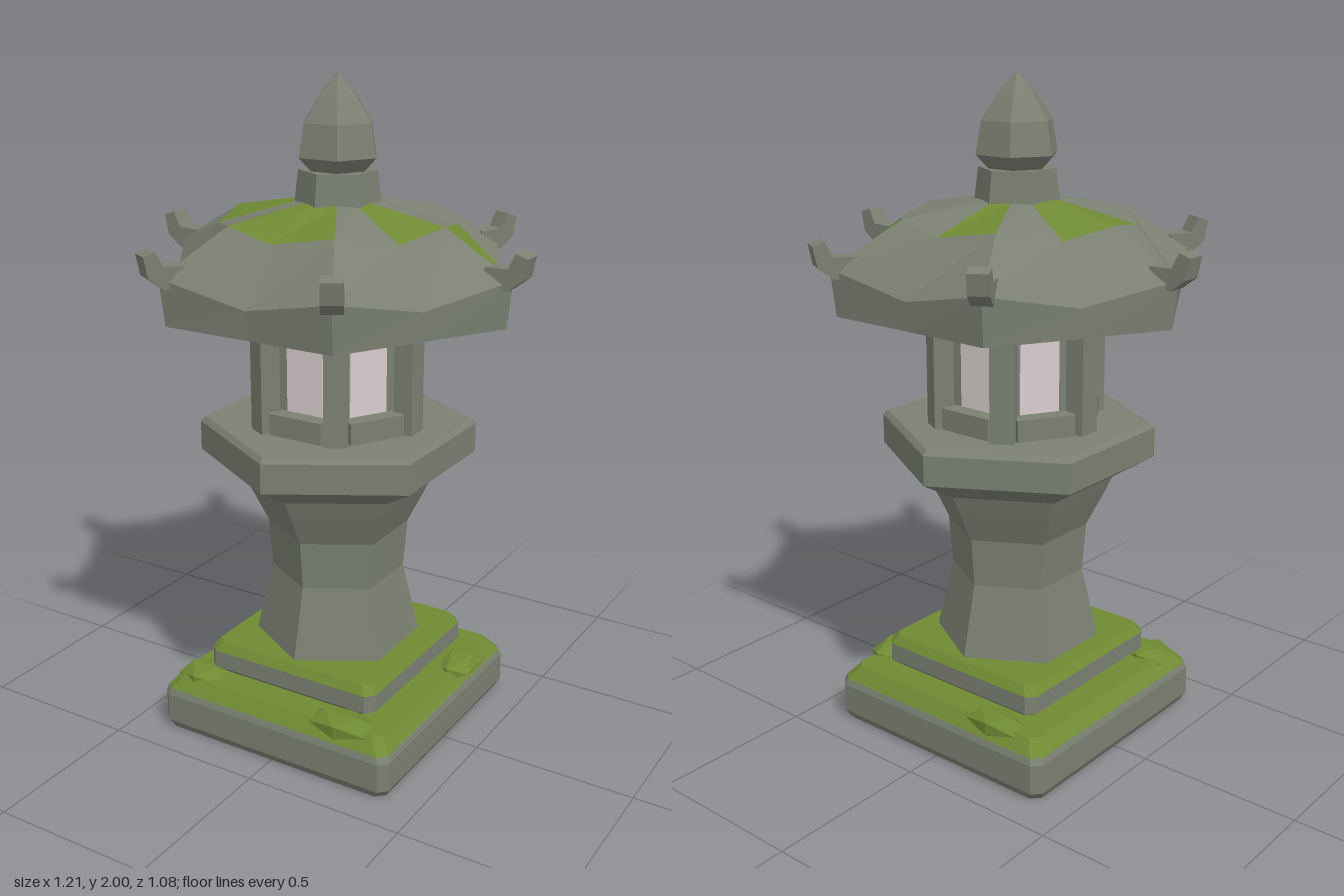
import * as THREE from 'three';

const stone = new THREE.MeshStandardMaterial({ color: 0x7b8072, flatShading: true });
stone.name = 'weathered stone';
const moss = new THREE.MeshStandardMaterial({ color: 0x6f8a33, flatShading: true });
moss.name = 'moss';
const paper = new THREE.MeshStandardMaterial({ color: 0xd9cdce, flatShading: true });
paper.name = 'pale window';

// Closed faceted solid from rings listed bottom to top; isMoss(band, side) picks mossy faces
function loft(rings, isMoss = () => false) {
  const lists = [[], []];
  const n = rings[0].length;
  const tri = (m, ...pts) => pts.forEach((p) => lists[m].push(...p));
  const centre = (ring) => [0, 1, 2].map((k) => ring.reduce((s, p) => s + p[k], 0) / n);
  const low = rings[0], high = rings[rings.length - 1];
  const cLow = centre(low), cHigh = centre(high);
  for (let i = 0; i < n; i++) {
    const j = (i + 1) % n;
    for (let b = 0; b + 1 < rings.length; b++) {
      const m = isMoss(b, i) ? 1 : 0;
      tri(m, rings[b][i], rings[b][j], rings[b + 1][j]);
      tri(m, rings[b][i], rings[b + 1][j], rings[b + 1][i]);
    }
    tri(0, cLow, low[j], low[i]);
    tri(0, cHigh, high[i], high[j]);
  }
  const g = new THREE.BufferGeometry();
  g.setAttribute('position', new THREE.Float32BufferAttribute([...lists[0], ...lists[1]], 3));
  g.addGroup(0, lists[0].length / 3, 0);
  g.addGroup(lists[0].length / 3, lists[1].length / 3, 1);
  g.computeVertexNormals();
  return g;
}

// Regular ring; turn is in degrees from +z towards +x
function ring(n, r, y, turn = 0) {
  return Array.from({ length: n }, (_, i) => {
    const a = THREE.MathUtils.degToRad(turn + (360 * i) / n);
    return [r * Math.sin(a), y, r * Math.cos(a)];
  });
}

// Square ring with cut corners
function squareRing(h, y, c = 0.025) {
  const k = h - c;
  return [[k, h], [h, k], [h, -k], [k, -h], [-k, -h], [-h, -k], [-h, k], [-k, h]].map(([x, z]) => [x, y, z]);
}

// Twelve-sided roof ring with separate values at corners and edge middles
function roofRing(rCorner, yCorner, rMid, yMid) {
  return ring(12, 1, 0).map(([x, , z], i) => (i % 2 ? [x * rCorner, yCorner, z * rCorner] : [x * rMid, yMid, z * rMid]));
}

export function createModel() {
  const model = new THREE.Group();
  model.name = 'stoneLantern';
  const add = (name, geometry, material, parent = model) => {
    const m = new THREE.Mesh(geometry, material);
    m.name = name;
    parent.add(m);
    return m;
  };
  const hexStack = (profile, turn) => loft(profile.map(([r, y]) => ring(6, r, y, turn)));
  const squareStack = (profile) => loft(profile.map(([h, y]) => squareRing(h, y)));

  // Stepped base with mossy tops
  add('lowerBase', squareStack([[0.385, 0.003], [0.4, 0.03], [0.4, 0.12], [0.393, 0.14]]), stone);
  add('lowerMoss', squareStack([[0.394, 0.138], [0.36, 0.18]]), moss);
  add('upperBase', squareStack([[0.265, 0.175], [0.293, 0.2], [0.293, 0.255]]), stone);
  add('upperMoss', squareStack([[0.293, 0.255], [0.275, 0.28]]), moss);

  // Moss clumps: x, z, half-length in x, half-length in z
  [[0.22, 0.33, 0.12, 0.07], [0.35, -0.18, 0.065, 0.12], [-0.3, 0.3, 0.09, 0.08], [-0.2, -0.34, 0.11, 0.06]]
    .forEach(([x, z, sx, sz]) => {
      const clump = add('mossClump', new THREE.IcosahedronGeometry(1, 0), moss);
      clump.position.set(x, 0.17, z);
      clump.scale.set(sx, 0.038, sz);
    });

  // Flared column and platform, with corners towards the front and back
  add('column', hexStack([[0.255, 0.275], [0.203, 0.5], [0.215, 0.65], [0.27, 0.76], [0.295, 0.815]], 0), stone);
  add('platform', hexStack([[0.295, 0.81], [0.415, 0.88], [0.415, 0.97], [0.4, 0.985]], 0), stone);

  // Fire box: core, then one post, window and pair of rails per side
  add('fireBoxCore', hexStack([[0.205, 0.98], [0.205, 1.34]], 30), stone);
  for (let i = 0; i < 6; i++) {
    const side = new THREE.Group();
    side.name = 'fireBoxSide';
    side.rotation.y = (i * Math.PI) / 3;
    model.add(side);
    add('window', new THREE.BoxGeometry(0.12, 0.25, 0.008), paper, side).position.set(0, 1.155, 0.18);
    add('lowerRail', new THREE.BoxGeometry(0.175, 0.07, 0.05), stone, side).position.set(0, 1.015, 0.213);
    add('upperRail', new THREE.BoxGeometry(0.19, 0.065, 0.05), stone, side).position.set(0, 1.305, 0.213);
    const post = add('post', new THREE.BoxGeometry(0.07, 0.36, 0.06), stone, side);
    post.position.set(0.12, 1.16, 0.208);
    post.rotation.y = Math.PI / 6;
    post.position.set(0.24 * Math.sin(Math.PI / 6), 1.16, 0.24 * Math.cos(Math.PI / 6));
  }

  // Roof with upswept corners and mossy facets
  const innerMoss = [0, 2, 6, 8, 9, 11];
  const roof = loft([
    roofRing(0.54, 1.338, 0.466, 1.338),
    roofRing(0.555, 1.475, 0.47, 1.42),
    roofRing(0.345, 1.6, 0.345, 1.575),
    roofRing(0.11, 1.643, 0.11, 1.643),
  ], (band, i) => (band === 2 && innerMoss.includes(i)) || (band === 1 && i === 3));
  add('roof', roof, [stone, moss]);

  // Upturned horn at each roof corner
  const hornShape = new THREE.Shape([
    [0.48, 1.45], [0.55, 1.45], [0.595, 1.485], [0.607, 1.545], [0.572, 1.557], [0.55, 1.512], [0.48, 1.51],
  ].map(([x, y]) => new THREE.Vector2(x, y)));
  const horn = new THREE.ExtrudeGeometry(hornShape, { depth: 0.06, bevelEnabled: false }).translate(0, 0, -0.03);
  for (let i = 0; i < 6; i++) add('roofHorn', horn, stone).rotation.y = (i * Math.PI) / 3;

  // Neck and pointed bud
  add('finialNeck', hexStack([[0.125, 1.635], [0.113, 1.73]], 0), stone);
  add('finialBud', hexStack([[0.085, 1.728], [0.125, 1.77], [0.108, 1.865], [0.06, 1.935], [0.001, 2]], 30), stone);

  return model;
}
